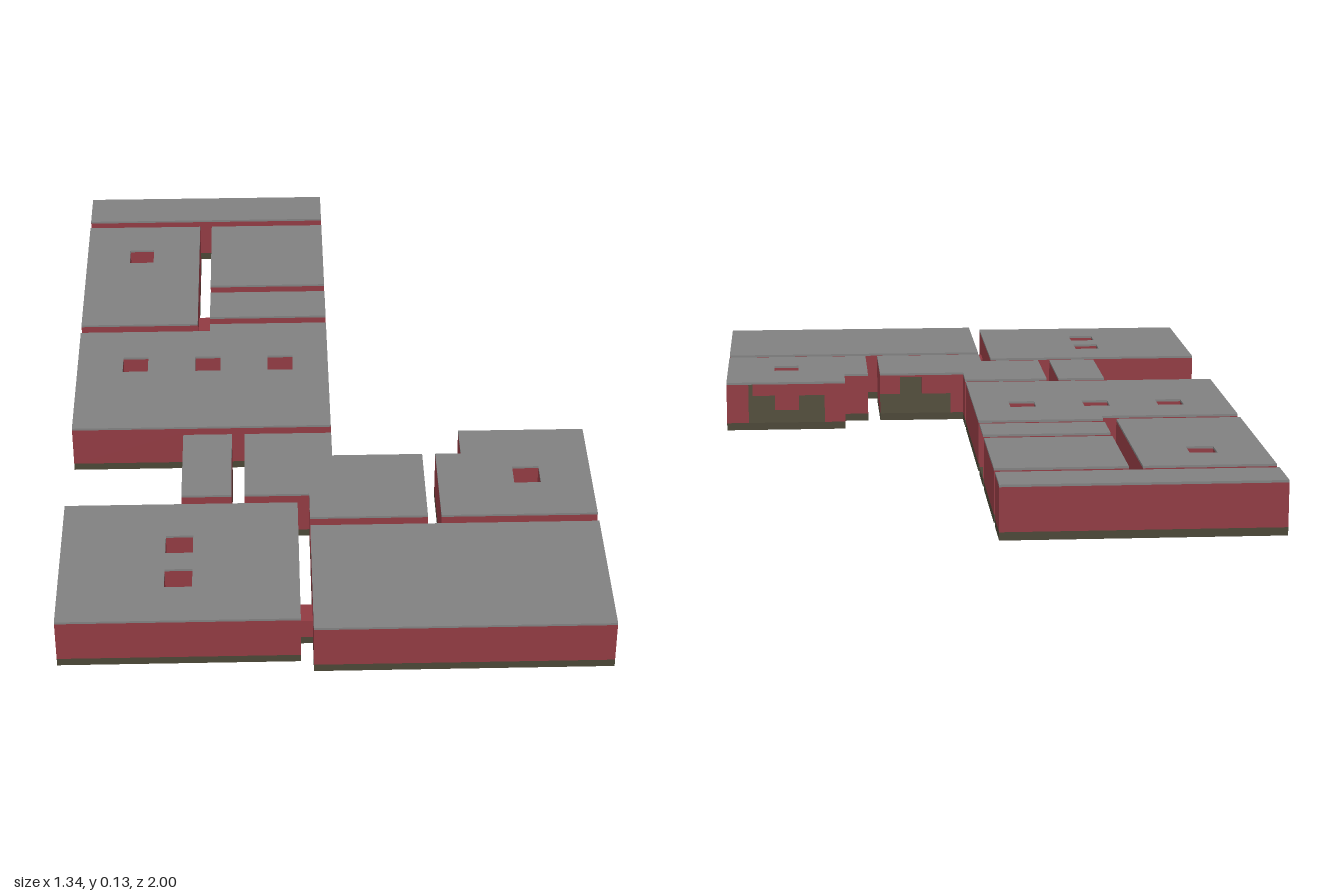
import * as THREE from 'three';
import { mergeGeometries } from 'three/addons/utils/BufferGeometryUtils.js';

const FLOOR = 0.02, CEIL = 0.128, TOP = 0.134, DOOR = 0.07;

const rect = (x0, z0, x1, z1) => [[x0, z0], [x1, z0], [x1, z1], [x0, z1]];

// Rooms: plan outline and square shafts, in x/z
const rooms = [
  { name: 'backRoom', plan: rect(-0.67, -1, 0.01, -0.873) },
  { name: 'backRightRoom', plan: rect(-0.67, -0.837, -0.347, -0.317), shafts: [[-0.513, -0.675]] },
  { name: 'backLeftRoom', plan: rect(-0.313, -0.837, 0.01, -0.513) },
  { name: 'porchRoom', plan: rect(-0.313, -0.477, 0.01, -0.35) },
  {
    name: 'mainHall',
    plan: [[-0.67, -0.28], [-0.313, -0.28], [-0.313, -0.315], [0.01, -0.315], [0.01, 0.175], [-0.67, 0.175]],
    shafts: [[-0.513, -0.12], [-0.316, -0.12], [-0.12, -0.12]],
  },
  { name: 'linkRoom', plan: rect(-0.377, 0.21, -0.25, 0.473) },
  {
    name: 'steppedRoom',
    plan: [[-0.217, 0.21], [0.01, 0.21], [0.01, 0.31], [0.243, 0.31], [0.243, 0.57],
      [-0.053, 0.57], [-0.053, 0.473], [-0.217, 0.473]],
  },
  {
    name: 'cornerRoom',
    plan: [[0.343, 0.21], [0.67, 0.21], [0.67, 0.57], [0.277, 0.57], [0.277, 0.31], [0.343, 0.31]],
    shafts: [[0.505, 0.405]],
  },
  { name: 'frontRightRoom', plan: rect(-0.67, 0.508, -0.083, 0.963), shafts: [[-0.378, 0.671], [-0.378, 0.803]] },
  { name: 'frontLeftRoom', plan: rect(-0.053, 0.603, 0.67, 1) },
];

// Low passages: x0, z0, x1, z1, and the axis they run along
const passages = [
  [-0.543, -0.873, -0.482, -0.837, 'z'], [-0.182, -0.873, -0.12, -0.837, 'z'],
  [-0.182, -0.513, -0.12, -0.477, 'z'], [-0.182, -0.35, -0.12, -0.315, 'z'],
  [-0.347, -0.445, -0.313, -0.38, 'x'], [-0.345, 0.175, -0.283, 0.21, 'z'],
  [-0.345, 0.473, -0.283, 0.508, 'z'], [0.113, 0.57, 0.177, 0.603, 'z'],
  [0.605, 0.57, 0.67, 0.603, 'z'], [-0.083, 0.835, -0.053, 0.897, 'x'],
];

// Openings in walls: start, end and height
const openings = [
  { a: [0.4, 0.21], b: [0.61, 0.21], h: CEIL },
  { a: [0.045, 0.31], b: [0.243, 0.31], h: CEIL },
  { a: [0.01, -0.477], b: [0.01, -0.35], h: CEIL },
];
for (const [x0, z0, x1, z1, axis] of passages) {
  if (axis === 'z') for (const z of [z0, z1]) openings.push({ a: [x0, z], b: [x1, z], h: DOOR });
  else for (const x of [x0, x1]) openings.push({ a: [x, z0], b: [x, z1], h: DOOR });
}

// Upright rectangle between two plan points
function panel([ax, az], [bx, bz], y0, y1) {
  const g = new THREE.PlaneGeometry(Math.hypot(bx - ax, bz - az), y1 - y0);
  g.rotateY(-Math.atan2(bz - az, bx - ax));
  return g.translate((ax + bx) / 2, (y0 + y1) / 2, (az + bz) / 2);
}

// Wall along one plan edge, with its openings cut out
function wall(a, b) {
  const along = Math.abs(b[0] - a[0]) > Math.abs(b[1] - a[1]) ? 0 : 1, across = 1 - along;
  const lo = Math.min(a[along], b[along]), hi = Math.max(a[along], b[along]);
  const point = (t) => (along === 0 ? [t, a[1]] : [a[0], t]);
  const cuts = openings
    .filter((o) => Math.abs(o.a[across] - a[across]) < 0.005 && Math.abs(o.b[across] - a[across]) < 0.005
      && o.a[along] > lo - 0.005 && o.b[along] < hi + 0.005)
    .sort((p, q) => p.a[along] - q.a[along]);
  const parts = [];
  let t = lo;
  for (const o of cuts) {
    if (o.a[along] - t > 0.002) parts.push(panel(point(t), point(o.a[along]), FLOOR, CEIL));
    if (o.h < CEIL) parts.push(panel(o.a, o.b, o.h, CEIL));
    t = o.b[along];
  }
  if (hi - t > 0.002) parts.push(panel(point(t), point(hi), FLOOR, CEIL));
  return parts;
}

const squareAt = ([x, z], r = 0.034) => rect(x - r, z - r, x + r, z + r);
const toVectors = (pts) => pts.map(([x, z]) => new THREE.Vector2(x, z));

// Horizontal slab with the shafts cut through
function slab(plan, shafts, y0, y1) {
  const shape = new THREE.Shape(toVectors(plan));
  for (const s of shafts) shape.holes.push(new THREE.Path(toVectors(squareAt(s))));
  const g = new THREE.ExtrudeGeometry(shape, { depth: y1 - y0, bevelEnabled: false });
  return g.rotateX(Math.PI / 2).translate(0, y1, 0);
}

export function createModel() {
  const paint = (name, color, side = THREE.FrontSide) => {
    const m = new THREE.MeshStandardMaterial({ color, side });
    m.name = name;
    return m;
  };
  const grey = paint('ceilingGrey', 0x808080);
  const red = paint('wallRed', 0x903a42, THREE.DoubleSide);
  const olive = paint('floorOlive', 0x4a4636);

  const model = new THREE.Group();
  model.name = 'floorPlan';
  const add = (parent, name, geometry, material) => {
    const mesh = new THREE.Mesh(geometry, material);
    mesh.name = name;
    parent.add(mesh);
  };
  const edges = (pts, fn) => pts.flatMap((p, i) => fn(p, pts[(i + 1) % pts.length]));

  // Rooms: floor, ceiling, outer walls and shaft linings
  for (const { name, plan, shafts = [] } of rooms) {
    const room = new THREE.Group();
    room.name = name;
    add(room, 'floor', slab(plan, shafts, 0, FLOOR), olive);
    add(room, 'ceiling', slab(plan, shafts, CEIL, TOP), grey);
    add(room, 'walls', mergeGeometries(edges(plan, wall)), red);
    if (shafts.length) {
      const linings = shafts.flatMap((s) => edges(squareAt(s), (a, b) => [panel(a, b, FLOOR, CEIL)]));
      add(room, 'shaftWalls', mergeGeometries(linings), red);
    }
    model.add(room);
  }

  // Passages: floor, two sides and a low roof
  passages.forEach(([x0, z0, x1, z1, axis]) => {
    const passage = new THREE.Group();
    passage.name = 'passage';
    add(passage, 'passageFloor', slab(rect(x0, z0, x1, z1), [], 0, FLOOR), olive);
    const sides = axis === 'z'
      ? [panel([x0, z0], [x0, z1], FLOOR, DOOR), panel([x1, z0], [x1, z1], FLOOR, DOOR)]
      : [panel([x0, z0], [x1, z0], FLOOR, DOOR), panel([x0, z1], [x1, z1], FLOOR, DOOR)];
    const roof = new THREE.PlaneGeometry(x1 - x0, z1 - z0).rotateX(-Math.PI / 2);
    roof.translate((x0 + x1) / 2, DOOR, (z0 + z1) / 2);
    add(passage, 'passageShell', mergeGeometries([...sides, roof]), red);
    model.add(passage);
  });
  return model;
}
